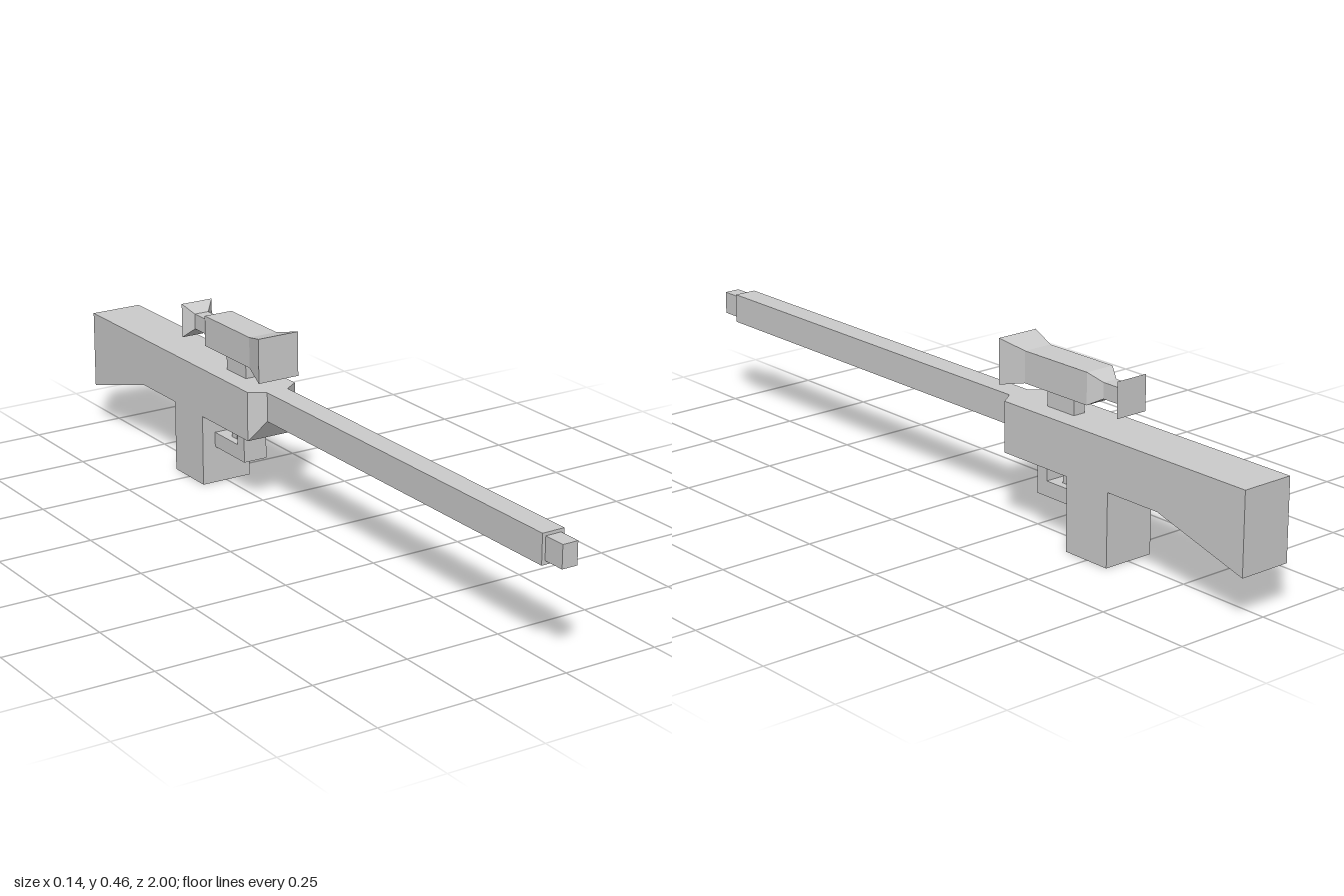
import * as THREE from 'three';

const material = new THREE.MeshStandardMaterial({ color: 0xcccccc, flatShading: true });

// Flat-faced solid through rectangular sections [z, halfWidth, bottom, top], listed front to back.
function loft(sections) {
  const rings = sections.map(([z, w, y0, y1]) => [[-w, y0, z], [w, y0, z], [w, y1, z], [-w, y1, z]]);
  const points = [];
  const quad = (a, b, c, d) => points.push(...a, ...b, ...c, ...a, ...c, ...d);
  for (let r = 0; r < rings.length - 1; r++) {
    const front = rings[r], back = rings[r + 1];
    for (let i = 0; i < 4; i++) {
      const j = (i + 1) % 4;
      quad(front[i], back[i], back[j], front[j]);
    }
  }
  quad(...rings[0]);
  quad(...[...rings[rings.length - 1]].reverse());
  const geometry = new THREE.BufferGeometry();
  geometry.setAttribute('position', new THREE.Float32BufferAttribute(points, 3));
  geometry.computeVertexNormals();
  return geometry;
}

// Box centred on x = 0, given by its extents.
function block(halfWidth, y0, y1, z0, z1) {
  const geometry = new THREE.BoxGeometry(halfWidth * 2, y1 - y0, z1 - z0);
  return geometry.translate(0, (y0 + y1) / 2, (z0 + z1) / 2);
}

export function createModel() {
  const model = new THREE.Group();
  model.name = 'rifle';
  const add = (name, geometry, parent = model) => {
    const mesh = new THREE.Mesh(geometry, material);
    mesh.name = name;
    parent.add(mesh);
  };

  // Body with chamfered nose and a stock that deepens to the rear
  add('bodyAndStock', loft([
    [-0.178, 0.03, 0.24, 0.316],
    [-0.207, 0.07, 0.187, 0.316],
    [-0.73, 0.07, 0.187, 0.316],
    [-1, 0.07, 0.11, 0.316],
  ]));

  // Barrel and muzzle
  add('barrel', block(0.03, 0.24, 0.316, -0.18, 0.94));
  add('muzzle', block(0.021, 0.25, 0.308, 0.94, 1));

  // Grip block below the body
  add('grip', block(0.07, 0, 0.187, -0.567, -0.428));

  // Trigger and its guard
  const guard = new THREE.Group();
  guard.name = 'triggerGuard';
  model.add(guard);
  add('guardFront', block(0.033, 0.137, 0.187, -0.318, -0.285), guard);
  add('guardBottom', block(0.033, 0.098, 0.137, -0.428, -0.285), guard);
  add('trigger', block(0.013, 0.137, 0.187, -0.376, -0.352));

  // Scope: square sections about one axis, flared at both ends
  const axis = 0.404;
  const profile = [
    [-0.172, 0.058], [-0.245, 0.04], [-0.46, 0.04],
    [-0.495, 0.02], [-0.543, 0.02], [-0.567, 0.045],
  ];
  add('scope', loft(profile.map(([z, h]) => [z, h, axis - h, axis + h])));
  add('scopeMount', block(0.017, 0.316, 0.365, -0.392, -0.3));

  return model;
}
